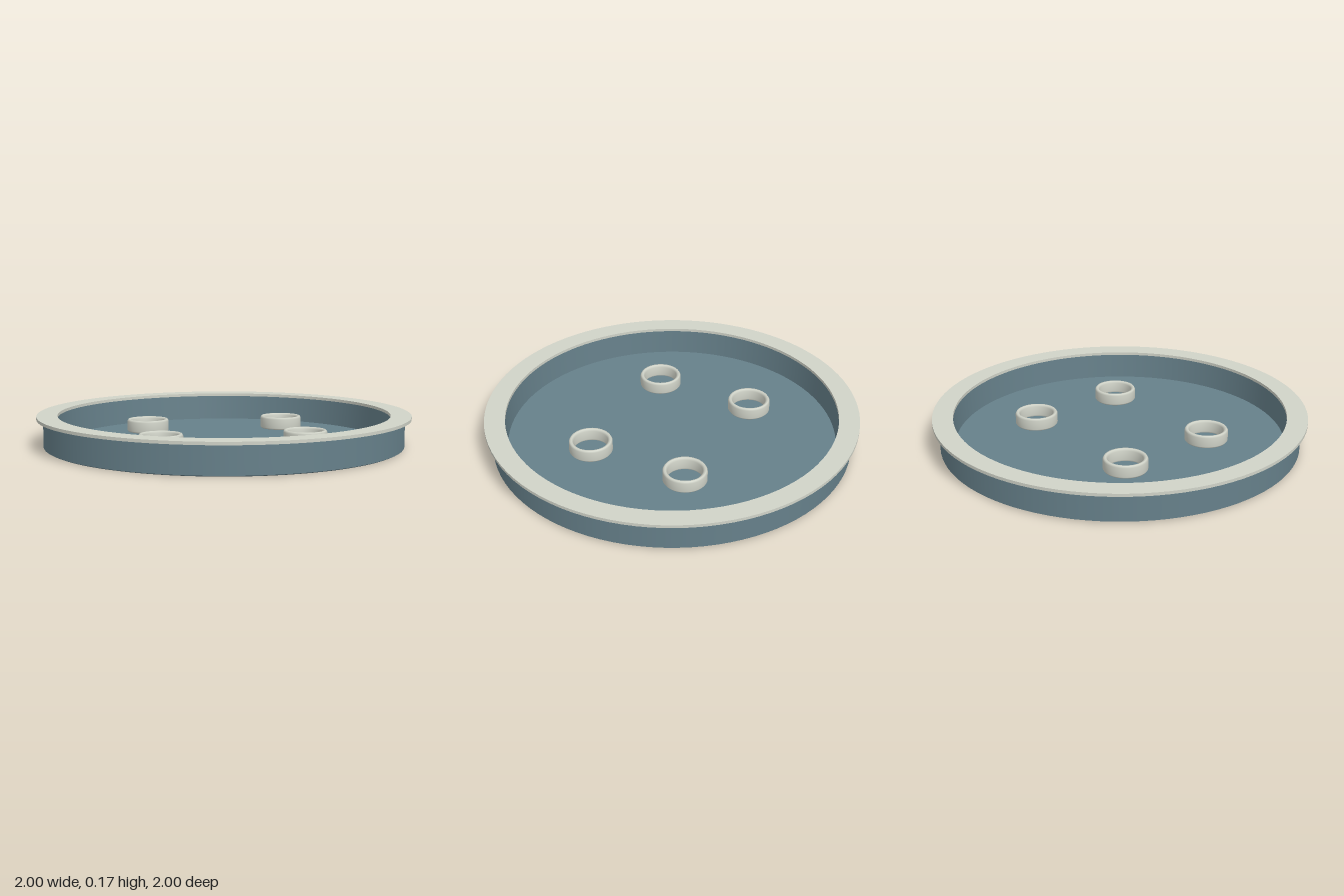
import * as THREE from 'three';

// Lathe a profile of [radius, height] pairs; every corner is doubled to stay sharp
function turned(profile, segments, sharp = true) {
  const points = [];
  profile.forEach(([r, y], i) => {
    points.push(new THREE.Vector2(r, y));
    const inner = i > 0 && i < profile.length - 1;
    if (sharp && inner) points.push(new THREE.Vector2(r, y));
  });
  return new THREE.LatheGeometry(points, segments);
}

export function createModel() {
  const model = new THREE.Group();
  const slateBlue = new THREE.MeshStandardMaterial({ color: 0x66808a });
  slateBlue.name = 'slateBlue';
  const paleGrey = new THREE.MeshStandardMaterial({ color: 0xd0d3c8 });
  paleGrey.name = 'paleGrey';

  const add = (name, geometry, material, x = 0, y = 0, z = 0) => {
    const mesh = new THREE.Mesh(geometry, material);
    mesh.name = name;
    mesh.position.set(x, y, z);
    model.add(mesh);
  };

  // Shallow round tray: underside, outer wall, wall top, inner wall, floor
  add('tray', turned([
    [0, 0], [0.955, 0], [0.965, 0.005], [0.965, 0.157],
    [0.892, 0.157], [0.885, 0.012], [0, 0.012],
  ], 96), slateBlue);

  // Flat rim overhanging the wall
  add('rim', turned([
    [0.89, 0.152], [1, 0.152], [1, 0.168], [0.89, 0.168], [0.89, 0.152],
  ], 96), paleGrey);

  // Four small rings with rounded edges, standing just clear of the floor
  const ring = turned([
    [0.094, 0], [0.109, 0], [0.115, 0.008], [0.115, 0.058], [0.109, 0.068],
    [0.1, 0.068], [0.09, 0.058], [0.09, 0.008], [0.094, 0],
  ], 40, false);
  for (const x of [-0.38, 0.38]) {
    for (const z of [-0.28, 0.28]) {
      const side = x > 0 ? 'left' : 'right';
      add(`${side}${z > 0 ? 'Front' : 'Back'}Ring`, ring, paleGrey, x, 0.037, z);
    }
  }

  return model;
}
